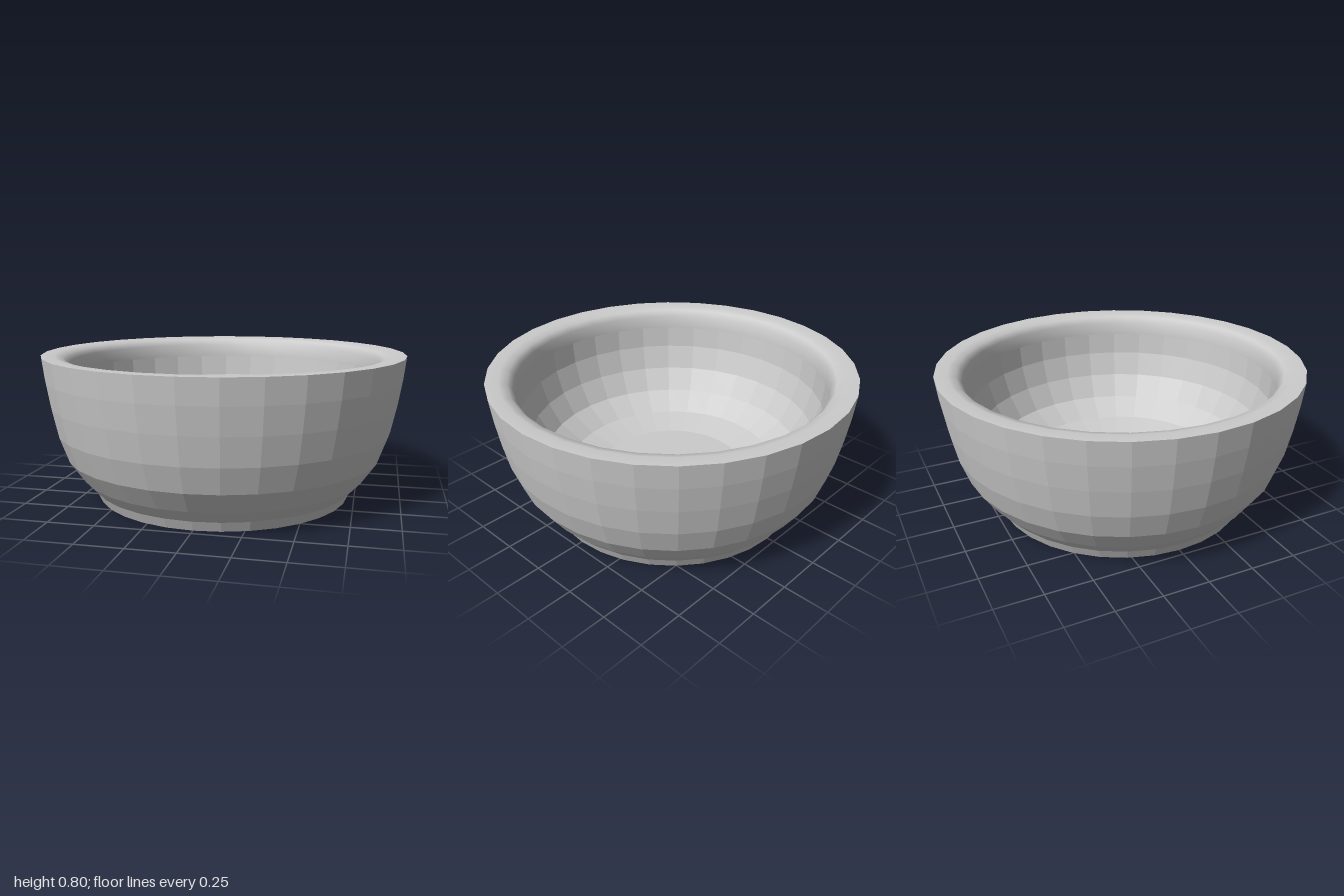
import * as THREE from 'three';

const SIDES = 32;

// Turns a profile of [radius, height] points, running from the outside in
function turn(name, profile, flatShading) {
  const points = profile.map(([r, y]) => new THREE.Vector2(r, y));
  const mesh = new THREE.Mesh(
    new THREE.LatheGeometry(points, SIDES),
    new THREE.MeshStandardMaterial({ color: 0xcccccc, flatShading })
  );
  mesh.name = name;
  return mesh;
}

export function createModel() {
  const bowl = new THREE.Group();
  bowl.name = 'bowl';

  // Flat underside and short flared foot
  bowl.add(turn('foot', [[0, 0], [0.71, 0], [0.735, 0.055]], true));

  // Faceted outer wall
  bowl.add(turn('outerWall', [
    [0.735, 0.055], [0.8, 0.125], [0.88, 0.24], [0.93, 0.38],
    [0.962, 0.53], [0.985, 0.67], [1, 0.8],
  ], true));

  // Smooth rim, rounded over on its inner edge
  bowl.add(turn('rim', [[1, 0.8], [0.93, 0.8], [0.885, 0.788], [0.857, 0.755], [0.853, 0.68]], false));

  // Faceted inside and flat floor
  bowl.add(turn('innerWall', [
    [0.853, 0.68], [0.842, 0.555], [0.8, 0.415], [0.725, 0.286],
    [0.59, 0.195], [0.415, 0.15], [0, 0.15],
  ], true));

  return bowl;
}
